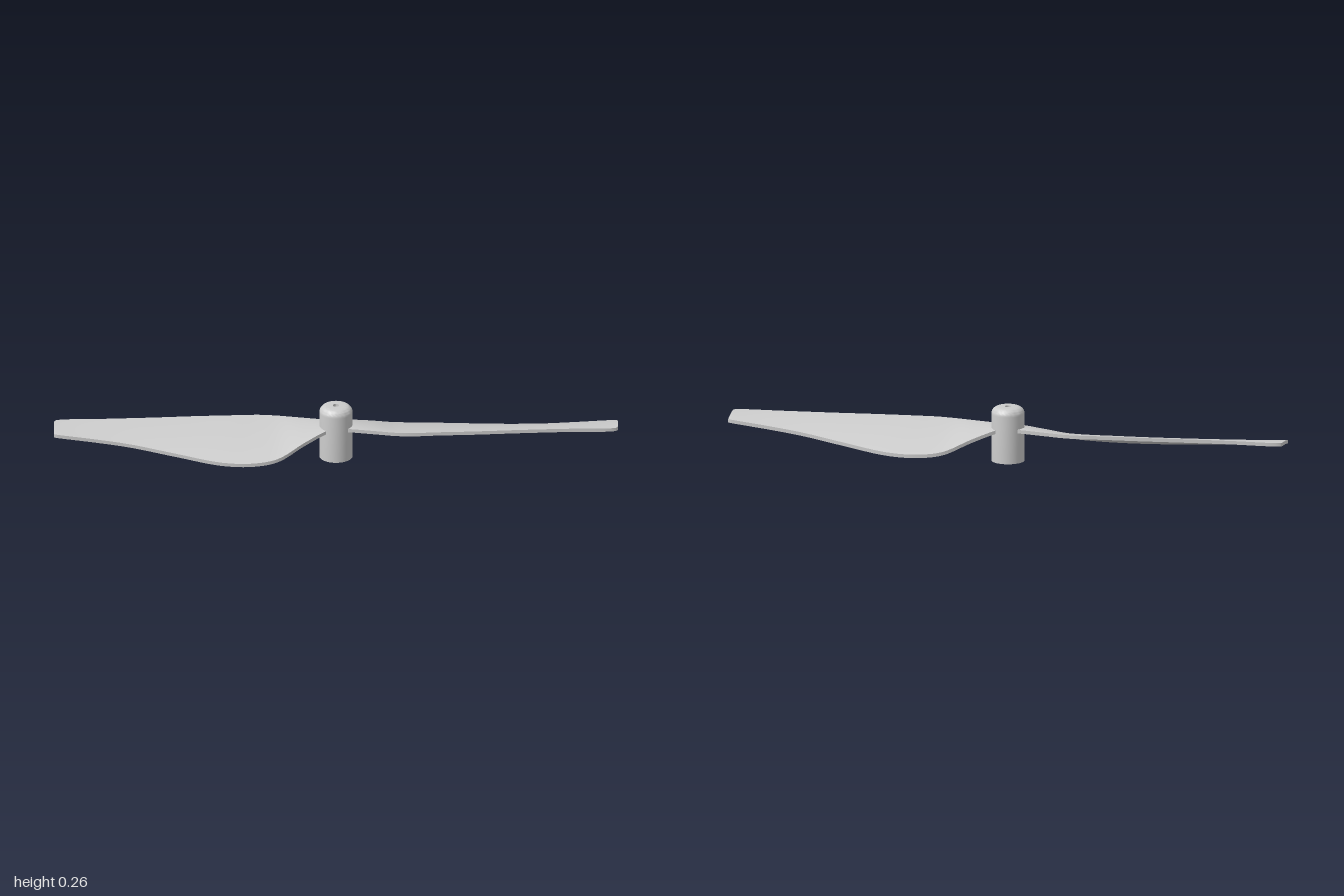
import * as THREE from 'three';
import { toCreasedNormals } from 'three/addons/utils/BufferGeometryUtils.js';

// Matching stations along the two blade edges, root to tip: [x, y, z] of the upper surface
const STRAIGHT_EDGE = [
  [-0.04, 0.165, -0.03], [-0.09, 0.165, 0.01], [-0.2, 0.165, 0.085], [-0.27, 0.165, 0.133],
  [-0.33, 0.166, 0.185], [-0.4, 0.167, 0.265], [-0.52, 0.167, 0.4], [-0.66, 0.167, 0.565],
  [-0.8, 0.167, 0.725], [-0.962, 0.166, 0.908], [-0.958, 0.166, 0.925],
];
const CURVED_EDGE = [
  [0.025, 0.165, 0.02], [0.012, 0.158, 0.08], [-0.015, 0.125, 0.2], [-0.045, 0.08, 0.34],
  [-0.11, 0.067, 0.44], [-0.22, 0.068, 0.54], [-0.42, 0.09, 0.66], [-0.6, 0.114, 0.772],
  [-0.73, 0.131, 0.875], [-0.868, 0.148, 0.992], [-0.885, 0.149, 1.0],
];
const THICKNESS = 0.017;

const curveThrough = (points) =>
  new THREE.CatmullRomCurve3(points.map((p) => new THREE.Vector3(...p)));

// Twisted, slightly cambered sheet lofted between the two edge curves
function bladeGeometry(along = 60, across = 10) {
  const edgeA = curveThrough(STRAIGHT_EDGE);
  const edgeB = curveThrough(CURVED_EDGE);
  const ring = 2 * (across + 1);
  const positions = [];
  const index = [];
  for (let i = 0; i <= along; i++) {
    const a = edgeA.getPoint(i / along);
    const b = edgeB.getPoint(i / along);
    const chord = a.distanceTo(b);
    for (let j = 0; j < ring; j++) {
      const under = j > across;
      const v = (under ? ring - 1 - j : j) / across;
      const p = a.clone().lerp(b, v);
      p.y += 0.12 * chord * v * (1 - v) - (under ? THICKNESS : 0);
      positions.push(p.x, p.y, p.z);
    }
  }
  for (let i = 0; i < along; i++) {
    for (let j = 0; j < ring; j++) {
      const k = (j + 1) % ring;
      const p = i * ring + j, q = i * ring + k;
      index.push(p, p + ring, q, q, p + ring, q + ring);
    }
  }
  // Tip cap
  const tip = along * ring;
  for (let j = 0; j < across; j++) {
    const low = tip + ring - 1 - j;
    index.push(tip + j, low, tip + j + 1, tip + j + 1, low, low - 1);
  }
  const geometry = new THREE.BufferGeometry();
  geometry.setAttribute('position', new THREE.Float32BufferAttribute(positions, 3));
  geometry.setIndex(index);
  return toCreasedNormals(geometry, 0.6);
}

// Solid round hub with a filleted top and a small central hole
function hubGeometry() {
  const radius = 0.079, height = 0.263, fillet = 0.035;
  const profile = [[0, 0], [radius, 0]];
  for (let i = 0; i <= 8; i++) {
    const t = (i / 8) * Math.PI / 2;
    profile.push([radius - fillet + fillet * Math.cos(t), height - fillet + fillet * Math.sin(t)]);
  }
  profile.push([0.015, height], [0.015, height - 0.03], [0, height - 0.03]);
  const lathe = new THREE.LatheGeometry(profile.map(([x, y]) => new THREE.Vector2(x, y)), 48);
  return toCreasedNormals(lathe, 0.6);
}

export function createModel() {
  const group = new THREE.Group();
  group.name = 'propeller';
  const material = new THREE.MeshStandardMaterial({ color: 0xcccccc });

  const hub = new THREE.Mesh(hubGeometry(), material);
  hub.name = 'hub';
  group.add(hub);

  // Two identical blades, half a turn apart
  const geometry = bladeGeometry();
  ['frontBlade', 'backBlade'].forEach((name, i) => {
    const blade = new THREE.Mesh(geometry, material);
    blade.name = name;
    blade.rotation.y = i * Math.PI;
    group.add(blade);
  });
  return group;
}
